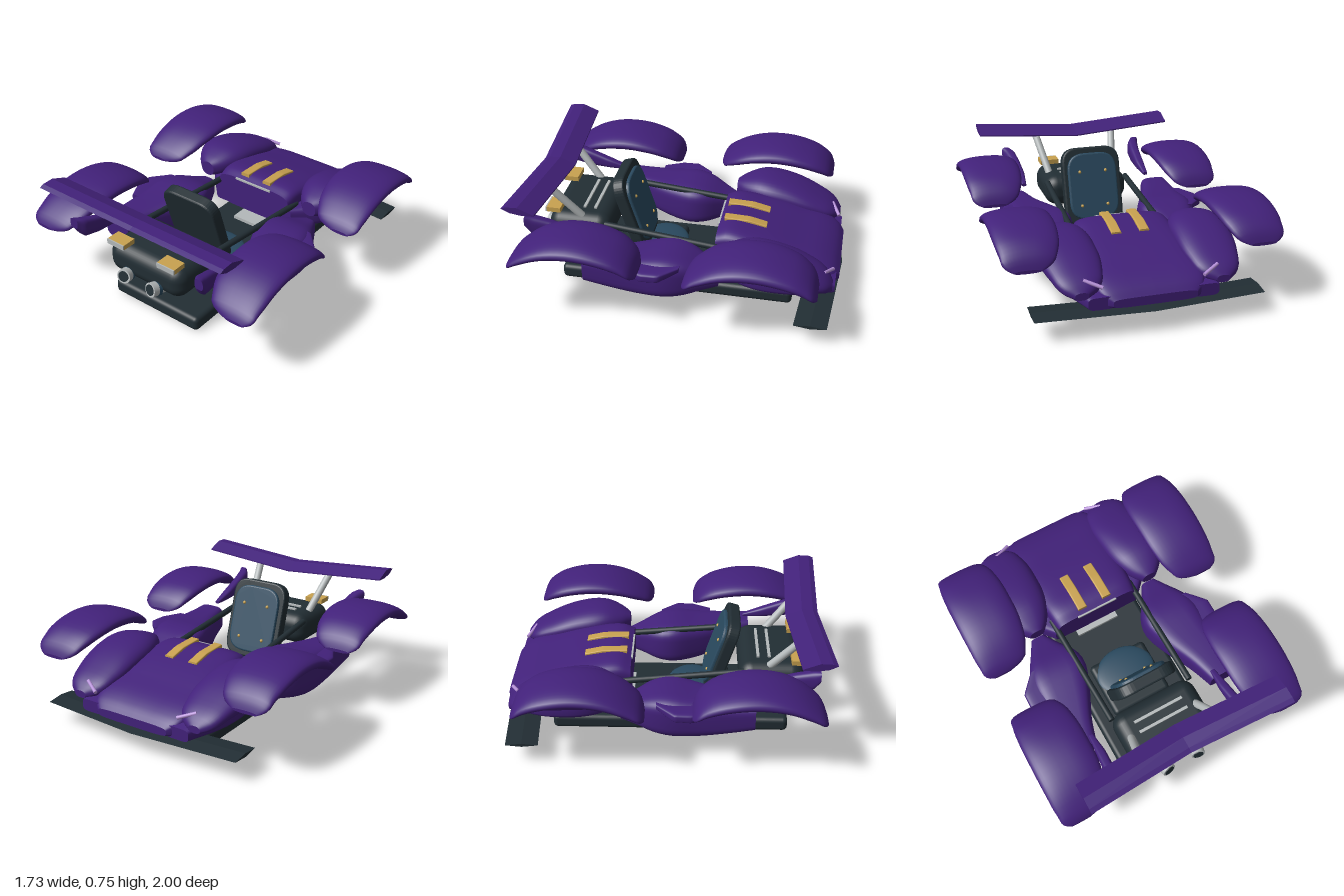
import * as THREE from 'three';
import { RoundedBoxGeometry } from 'three/addons/geometries/RoundedBoxGeometry.js';

const mat = (name, color, side = THREE.FrontSide) => {
  const m = new THREE.MeshStandardMaterial({ color, side });
  m.name = name;
  return m;
};

// Smooth body lofted along z. Each station: [z, centreX, halfWidth, yBottom, yTop]
function loft(stations, { power = 2, steps = 28, seg = 36, side = 1, smooth = true } = {}) {
  const times = stations.map(s => s[0]);
  const Interp = smooth ? THREE.CubicInterpolant : THREE.LinearInterpolant;
  const curve = new Interp(times, stations.flatMap(s => s.slice(1)), 4);
  const z0 = times[0], z1 = times[times.length - 1];
  const pos = [], idx = [];
  const round = v => Math.sign(v) * Math.pow(Math.abs(v), 2 / power);
  const ring = t => {
    const [cx, hw, yb, yt] = curve.evaluate(t);
    for (let j = 0; j < seg; j++) {
      const a = j / seg * Math.PI * 2;
      pos.push(cx * side + hw * round(Math.cos(a)), (yb + yt) / 2 + (yt - yb) / 2 * round(Math.sin(a)), t);
    }
  };
  for (let i = 0; i <= steps; i++) {
    // stations crowd towards both ends so rounded tips stay smooth
    ring(z0 + (z1 - z0) * (0.5 - 0.5 * Math.cos(i / steps * Math.PI)));
  }
  for (let i = 0; i < steps; i++) for (let j = 0; j < seg; j++) {
    const a = i * seg + j, b = i * seg + (j + 1) % seg;
    idx.push(a, b, a + seg, b, b + seg, a + seg);
  }
  // separate cap rings keep the end edges sharp
  const c0 = pos.length / 3; ring(z0);
  const c1 = pos.length / 3; ring(z1);
  for (let j = 1; j < seg - 1; j++) idx.push(c0, c0 + j + 1, c0 + j, c1, c1 + j, c1 + j + 1);
  const g = new THREE.BufferGeometry();
  g.setAttribute('position', new THREE.Float32BufferAttribute(pos, 3));
  g.setIndex(idx);
  g.computeVertexNormals();
  return g;
}

// Blade across x from a [z, y] profile, bent into a V by rise and sweep
function blade(profile, halfSpan, rise, sweep) {
  const shape = new THREE.Shape(profile.map(([z, y]) => new THREE.Vector2(-z, y)));
  const g = new THREE.ExtrudeGeometry(shape, { depth: halfSpan * 2, steps: 2, bevelEnabled: false });
  g.translate(0, 0, -halfSpan).rotateY(Math.PI / 2);
  const p = g.attributes.position;
  for (let i = 0; i < p.count; i++) {
    const k = Math.abs(p.getX(i)) / halfSpan;
    p.setY(i, p.getY(i) + rise * k);
    p.setZ(i, p.getZ(i) + sweep * k);
  }
  g.computeVertexNormals();
  return g;
}

// Rounded upright panel with bevelled rim
function panel(w, h, d, r) {
  const x = w / 2, y = h / 2, s = new THREE.Shape();
  s.moveTo(-x + r, -y).lineTo(x - r, -y).quadraticCurveTo(x, -y, x, -y + r);
  s.lineTo(x, y - r).quadraticCurveTo(x, y, x - r, y);
  s.lineTo(-x + r, y).quadraticCurveTo(-x, y, -x, y - r);
  s.lineTo(-x, -y + r).quadraticCurveTo(-x, -y, -x + r, -y);
  const g = new THREE.ExtrudeGeometry(s, { depth: d, bevelSize: 0.012, bevelThickness: 0.012, bevelOffset: -0.012, bevelSegments: 3, curveSegments: 10 });
  return g.translate(0, 0, -d / 2);
}

export function createModel() {
  const purple = mat('purple paint', 0x42217a);
  const dark = mat('dark trim', 0x222e34);
  const blue = mat('blue padding', 0x2a4a60);
  const grey = mat('light metal', 0xb4b9ba);
  const gold = mat('gold', 0xc9a250);
  const lilac = mat('lilac lamps', 0xb48fd6);
  const model = new THREE.Group();

  const add = (name, geo, m, x = 0, y = 0, z = 0, parent = model) => {
    const mesh = new THREE.Mesh(geo, m);
    mesh.name = name;
    mesh.position.set(x, y, z);
    parent.add(mesh);
    return mesh;
  };
  const box = (name, w, h, d, m, x, y, z, r = 0) =>
    add(name, r ? new RoundedBoxGeometry(w, h, d, 4, r) : new THREE.BoxGeometry(w, h, d), m, x, y, z);
  const rod = (name, a, b, r, m) => {
    const A = new THREE.Vector3(...a), B = new THREE.Vector3(...b);
    const mesh = add(name, new THREE.CylinderGeometry(r, r, A.distanceTo(B), 20), m);
    mesh.position.copy(A).add(B).multiplyScalar(0.5);
    mesh.quaternion.setFromUnitVectors(new THREE.Vector3(0, 1, 0), B.clone().sub(A).normalize());
    return mesh;
  };

  // Floor, pedal plate and engine
  box('floor', 0.66, 0.095, 1.5, dark, 0, 0.0475, 0.04, 0.03);
  box('pedalPlate', 0.3, 0.022, 0.15, grey, 0, 0.111, -0.275);
  box('engine', 0.58, 0.21, 0.41, dark, 0, 0.355, 0.675, 0.085);
  for (const z of [0.59, 0.66]) box('engineBar', 0.34, 0.016, 0.018, grey, 0, 0.463, z);

  // Seat
  box('seatBase', 0.41, 0.075, 0.38, dark, 0, 0.125, 0.235, 0.03);
  const cushion = add('seatCushion', new THREE.SphereGeometry(1, 32, 16), blue, 0, 0.155, 0.18);
  cushion.scale.set(0.2, 0.03, 0.165);
  const back = new THREE.Group();
  back.name = 'seatBack';
  back.position.set(0, 0.425, 0.365);
  back.rotation.x = 0.3;
  model.add(back);
  add('backShell', panel(0.4, 0.53, 0.05, 0.11), dark, 0, 0, 0, back);
  add('backPad', panel(0.34, 0.45, 0.02, 0.12), blue, 0, 0, -0.036, back);
  for (const x of [-0.09, 0.09]) for (const y of [-0.13, 0.1])
    add('padStud', new THREE.SphereGeometry(0.011, 10, 8), gold, x, y, -0.057, back);

  // Nose body, hood vents and splitter
  add('nose', loft([
    [-0.99, 0, 0.25, 0.18, 0.235], [-0.95, 0, 0.30, 0.167, 0.275], [-0.7, 0, 0.33, 0.17, 0.37],
    [-0.45, 0, 0.31, 0.185, 0.435], [-0.28, 0, 0.295, 0.2, 0.455], [-0.21, 0, 0.285, 0.205, 0.43],
  ], { power: 5, seg: 48 }), purple);
  box('dashStrip', 0.28, 0.012, 0.012, grey, 0, 0.425, -0.208);
  add('splitter', blade([[-1, 0.137], [-0.9, 0.15], [-0.8, 0.14], [-0.9, 0.127]], 0.69, 0, 0.05), dark);

  // Rear wing
  add('rearWing', blade([[0.96, 0.70], [0.93, 0.712], [0.86, 0.715], [0.76, 0.675], [0.76, 0.667], [0.84, 0.665], [0.91, 0.675]],
    0.685, 0.04, 0.04), purple);

  for (const s of [1, -1]) {
    // Wheel arches: the same crescent at both ends of the car
    for (const [name, dz] of [['frontArch', 0], ['rearArch', 1.06]])
      add(name, loft([
        [-0.88, 0.70, 0.08, 0.405, 0.425], [-0.865, 0.695, 0.125, 0.412, 0.465], [-0.8, 0.68, 0.165, 0.445, 0.535],
        [-0.68, 0.672, 0.187, 0.485, 0.588], [-0.5, 0.67, 0.193, 0.505, 0.613], [-0.32, 0.675, 0.187, 0.485, 0.585],
        [-0.18, 0.695, 0.16, 0.435, 0.515], [-0.115, 0.72, 0.115, 0.408, 0.455], [-0.1, 0.74, 0.06, 0.405, 0.425],
      ], { power: 2.3, side: s }), purple, 0, 0, dz);

    // Inner fender and its lamps
    add('innerFender', loft([
      [-0.955, 0.42, 0.04, 0.24, 0.285], [-0.92, 0.415, 0.1, 0.245, 0.325], [-0.8, 0.415, 0.155, 0.27, 0.395],
      [-0.6, 0.425, 0.18, 0.29, 0.47], [-0.42, 0.43, 0.165, 0.3, 0.49], [-0.3, 0.425, 0.1, 0.32, 0.455], [-0.25, 0.42, 0.05, 0.33, 0.43],
    ], { power: 2.4, side: s }), purple);
    rod('lampInner', [s * 0.30, 0.30, -0.95], [s * 0.40, 0.335, -0.9], 0.011, lilac);
    rod('lampOuter', [s * 0.465, 0.32, -0.87], [s * 0.52, 0.33, -0.82], 0.011, lilac);

    // Lower fender flank
    add('noseFlank', loft([
      [-0.97, 0.31, 0.08, 0.175, 0.25], [-0.7, 0.34, 0.15, 0.18, 0.31], [-0.4, 0.33, 0.14, 0.195, 0.35], [-0.21, 0.26, 0.05, 0.21, 0.34],
    ], { power: 4, side: s }), purple);

    // Gold hood vents
    add('hoodVent', loft([
      [-0.51, 0.088, 0.031, 0.39, 0.434], [-0.4, 0.088, 0.031, 0.42, 0.46], [-0.24, 0.088, 0.031, 0.42, 0.466],
    ], { power: 8, side: s, smooth: false }), gold);

    // Side pod with outer winglet
    add('sidePod', loft([
      [-0.26, 0.42, 0.05, 0.175, 0.30], [-0.17, 0.42, 0.1, 0.16, 0.335], [-0.05, 0.415, 0.17, 0.135, 0.385], [0.05, 0.42, 0.19, 0.125, 0.4],
      [0.2, 0.445, 0.165, 0.13, 0.385], [0.4, 0.49, 0.12, 0.165, 0.372], [0.56, 0.515, 0.095, 0.2, 0.37],
    ], { power: 4, seg: 48, side: s }), purple);
    add('podWinglet', loft([
      [-0.04, 0.52, 0.06, 0.34, 0.375], [0.07, 0.56, 0.122, 0.315, 0.375], [0.18, 0.565, 0.118, 0.308, 0.372], [0.3, 0.55, 0.07, 0.33, 0.37],
    ], { power: 5, side: s, smooth: false }), purple);

    // Rear flare panel
    add('rearFlare', loft([
      [0.52, 0.44, 0.015, 0.41, 0.43], [0.65, 0.44, 0.03, 0.415, 0.48], [0.8, 0.45, 0.035, 0.42, 0.53], [0.9, 0.465, 0.04, 0.435, 0.56], [0.94, 0.485, 0.03, 0.5, 0.57],
    ], { power: 3, side: s, smooth: false }), purple);

    // Cockpit rail and wing strut
    rod('cockpitRail', [s * 0.28, 0.425, 0.5], [s * 0.29, 0.345, -0.3], 0.02, dark);
    rod('wingStrut', [s * 0.23, 0.44, 0.66], [s * 0.285, 0.69, 0.87], 0.025, grey);

    // Tail lamp
    box('tailLampHousing', 0.13, 0.032, 0.09, gold, s * 0.195, 0.478, 0.84);
    box('tailLampLens', 0.13, 0.032, 0.008, grey, s * 0.195, 0.478, 0.889);

    // Exhaust pipe with collar and dark mouth
    const a = new THREE.Vector3(s * 0.165, 0.235, 0.62), b = new THREE.Vector3(s * 0.105, 0.308, 0.935);
    const at = k => a.clone().lerp(b, k).toArray();
    rod('exhaustPipe', at(0), at(0.85), 0.036, grey);
    rod('exhaustCollar', at(0.8), at(0.87), 0.045, blue);
    rod('exhaustTip', at(0.87), at(0.99), 0.045, grey);
    rod('exhaustMouth', at(0.985), at(1), 0.034, dark);
  }
  return model;
}
